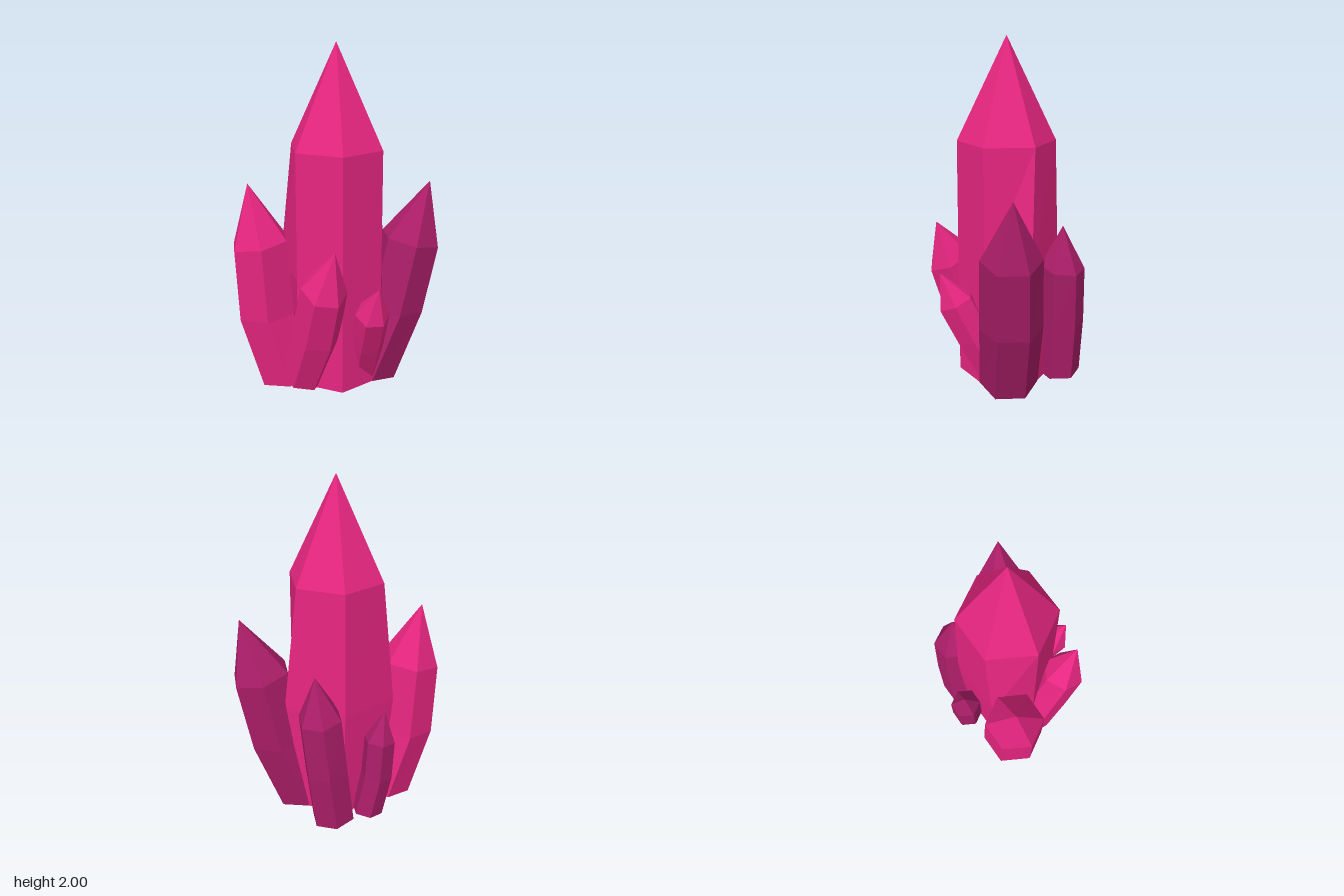
import * as THREE from 'three';

const SIDES = 6;

// One tilted hexagonal ring: centre, radius, slope of its plane, and an optional warp of each corner
function ringPoints({ c, r, sx = 0, sz = 0, warp }, phase) {
  return Array.from({ length: SIDES }, (_, i) => {
    const a = phase + (i * Math.PI * 2) / SIDES;
    let dx = r * Math.cos(a), dz = r * Math.sin(a);
    if (warp) [dx, dz] = warp(dx, dz);
    return [c[0] + dx, c[1] + sx * dx + sz * dz, c[2] + dz];
  });
}

// Faceted crystal through rings from bottom to top, closed below and pointed above
function crystalGeometry(rings, tip, phase) {
  const loops = rings.map((ring) => ringPoints(ring, phase));
  const pos = [];
  const tri = (a, b, c) => pos.push(...a, ...b, ...c);
  for (let i = 0; i < SIDES; i++) {
    const j = (i + 1) % SIDES;
    tri(rings[0].c, loops[0][i], loops[0][j]);
    for (let k = 0; k < loops.length - 1; k++) {
      const lo = loops[k], hi = loops[k + 1];
      tri(lo[i], hi[i], lo[j]);
      tri(lo[j], hi[i], hi[j]);
    }
    const top = loops[loops.length - 1];
    tri(top[i], tip, top[j]);
  }
  const geo = new THREE.BufferGeometry();
  geo.setAttribute('position', new THREE.Float32BufferAttribute(pos, 3));
  geo.computeVertexNormals();
  return geo;
}

function flatColor(name, color) {
  const material = new THREE.MeshStandardMaterial({ color });
  material.name = name;
  return material;
}

export function createModel() {
  const group = new THREE.Group();
  const pink = flatColor('brightPink', 0xe92682);
  const plum = flatColor('deepPink', 0xac1e69);
  const grey = flatColor('paleStone', 0xd8d8d8);

  const EDGE = Math.PI / 6; // corners towards front and back
  const FLAT = 0; // flat faces towards front and back
  // The rear half of the main shaft bulges outwards
  const bulge = (x, z) => (z < -0.01 ? [x * 1.31, z < -0.2 ? -0.3 : -0.12] : [x, z]);

  const crystals = [
    { name: 'mainCrystal', material: pink, phase: EDGE, tip: [0, 2, 0], rings: [
      { c: [0, 0.035, 0], r: 0.28 },
      { c: [0, 0.7, 0], r: 0.28, warp: bulge },
      { c: [0, 1.425, 0], r: 0.278 },
    ] },
    { name: 'leftCrystal', material: plum, phase: EDGE, tip: [0.545, 1.21, 0], rings: [
      { c: [0.195, 0.035, 0], r: 0.17, sx: -0.22 },
      { c: [0.35, 0.44, -0.005], r: 0.177, sx: -0.1 },
      { c: [0.438, 0.865, 0], r: 0.17, sx: -0.24 },
    ] },
    { name: 'rightCrystal', material: pink, phase: EDGE, tip: [-0.5, 1.23, 0], rings: [
      { c: [-0.295, 0.035, 0], r: 0.17, sx: 0.18 },
      { c: [-0.413, 0.45, -0.005], r: 0.178, sx: 0.08 },
      { c: [-0.44, 0.885, 0], r: 0.17, sx: 0.17 },
    ] },
    { name: 'frontRightCrystal', material: pink, phase: FLAT, tip: [-0.06, 0.94, 0.405], rings: [
      { c: [-0.22, 0.075, 0.14], r: 0.118, sx: -0.2, sz: -0.2 },
      { c: [-0.15, 0.39, 0.235], r: 0.138, sx: -0.15, sz: -0.3 },
      { c: [-0.11, 0.7, 0.33], r: 0.128, sx: -0.15, sz: -0.45 },
    ] },
    { name: 'frontLeftCrystal', material: pink, phase: FLAT, tip: [0.185, 0.71, 0.385], rings: [
      { c: [0.15, 0.09, 0.09], r: 0.09, sz: -0.3 },
      { c: [0.155, 0.31, 0.195], r: 0.1, sz: -0.35 },
      { c: [0.165, 0.53, 0.3], r: 0.098, sz: -0.45 },
    ] },
    { name: 'backLeftCrystal', material: plum, phase: EDGE, tip: [0.17, 0.97, -0.305], rings: [
      { c: [0.07, 0.045, -0.305], r: 0.126, sx: -0.1 },
      { c: [0.11, 0.38, -0.315], r: 0.128, sx: -0.1 },
      { c: [0.145, 0.72, -0.31], r: 0.127, sx: -0.12, sz: 0.1 },
    ] },
    { name: 'backRightCrystal', material: plum, phase: EDGE, tip: [-0.23, 0.71, -0.28], rings: [
      { c: [-0.14, 0.05, -0.28], r: 0.09, sx: 0.1 },
      { c: [-0.19, 0.29, -0.28], r: 0.092, sx: 0.1 },
      { c: [-0.205, 0.53, -0.28], r: 0.09, sx: 0.1 },
    ] },
  ];
  for (const { name, material, rings, tip, phase } of crystals) {
    const mesh = new THREE.Mesh(crystalGeometry(rings, tip, phase), material);
    mesh.name = name;
    group.add(mesh);
  }

  // Small stone chips showing under the cluster
  for (const [x, z, length] of [[-0.005, -0.04, 0.1], [-0.025, -0.195, 0.05]]) {
    const chip = new THREE.Mesh(new THREE.BoxGeometry(length * 0.4, 0.04, length), grey);
    chip.name = 'stoneChip';
    chip.position.set(x, 0.038, z);
    chip.rotation.set(0.1, 0.3, 0.15);
    group.add(chip);
  }
  return group;
}
